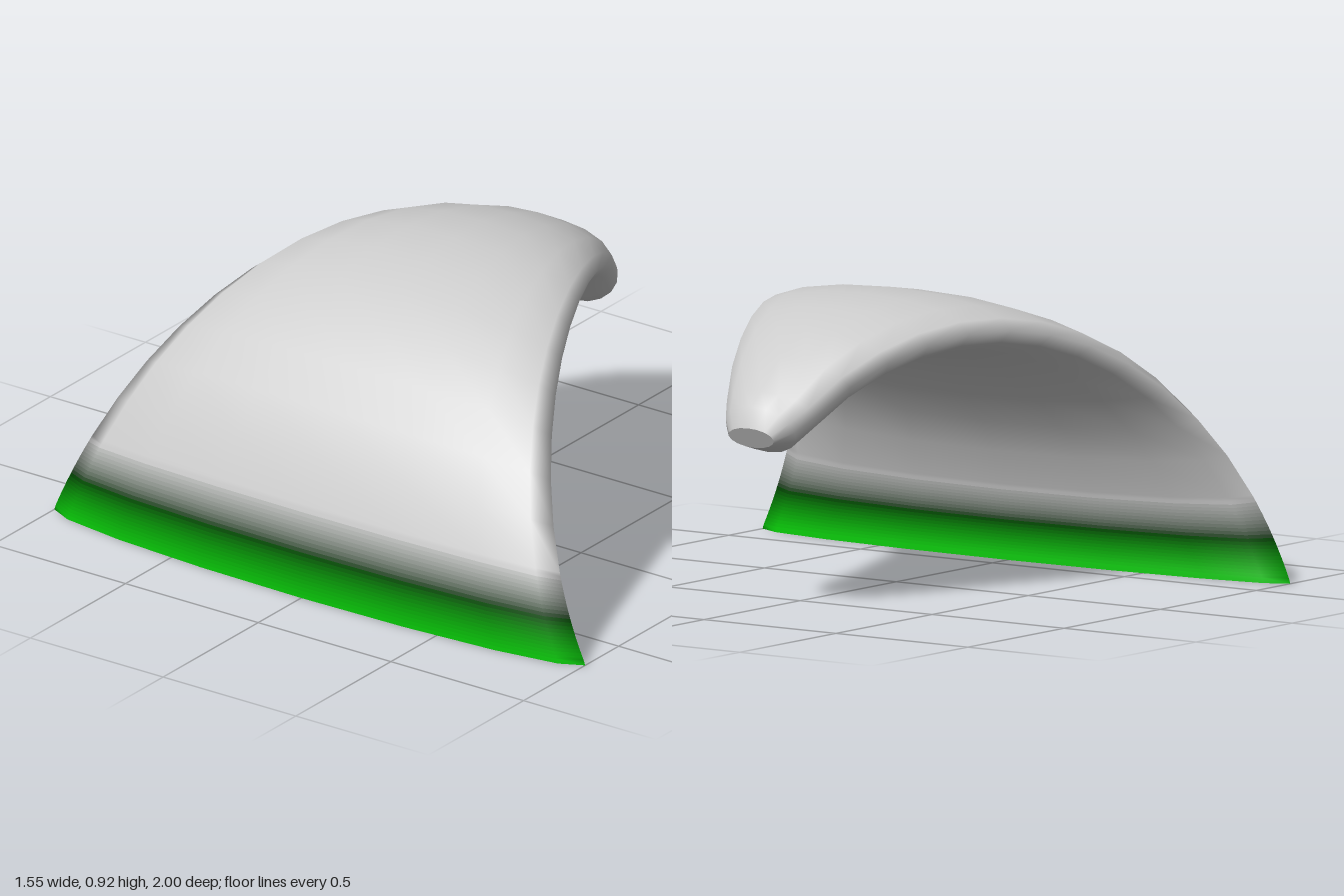
import * as THREE from 'three';

const SIDES = 16;
const CX = 0.105, CY = 0.04, RADIUS = 0.782, THICK = 0.098;
const START = 182.6, STEP = 9.77, SEGMENTS = 13, BANDS = 12;

// Elliptical cross-section: centre, tilt in degrees, half thickness, half width
function ring(x, y, tilt, thick, width) {
  const a = THREE.MathUtils.degToRad(tilt);
  const points = [];
  for (let i = 0; i < SIDES; i++) {
    const t = (i / SIDES) * Math.PI * 2;
    const r = thick * Math.cos(t);
    points.push(new THREE.Vector3(x + r * Math.cos(a), y + r * Math.sin(a), width * Math.sin(t)));
  }
  return points;
}

// Cross-section on the arch; the width shrinks evenly along the arc
function archRing(step) {
  const angle = START - step * STEP;
  const a = THREE.MathUtils.degToRad(angle);
  const x = CX + RADIUS * Math.cos(a), y = CY + RADIUS * Math.sin(a);
  return ring(x, y, angle, THICK, 1 - 0.0061 * step * STEP);
}

// Flat end cap as a fan
function capGeometry(points, flip) {
  const index = [];
  for (let i = 1; i < SIDES - 1; i++) index.push(0, flip ? i + 1 : i, flip ? i : i + 1);
  const geometry = new THREE.BufferGeometry().setFromPoints(points);
  geometry.setIndex(index);
  geometry.computeVertexNormals();
  return geometry;
}

export function createModel() {
  const group = new THREE.Group();
  const add = (geometry, color, name) => {
    const mesh = new THREE.Mesh(geometry, new THREE.MeshStandardMaterial({ color }));
    mesh.name = name;
    group.add(mesh);
  };

  // Cross-sections: the first two segments are split finely for the colour fade
  const rings = [];
  const fadeBands = 2 * BANDS;
  for (let i = 0; i < fadeBands; i++) rings.push(archRing(i / BANDS));
  for (let i = 2; i <= SEGMENTS; i++) rings.push(archRing(i));
  // The base stands flat on the ground
  rings[0].forEach((p) => { p.y = 0; });
  // Blunt tip, tilted a little out of the arc
  rings.push(
    ring(0.65, 0.598, 54, 0.091, 0.166),
    ring(0.705, 0.554, 59.5, 0.088, 0.13),
    ring(0.755, 0.533, 61, 0.037, 0.085),
  );

  // Smooth skin over all the cross-sections
  const skin = new THREE.BufferGeometry().setFromPoints(rings.flat());
  const index = [];
  for (let r = 0; r < rings.length - 1; r++) {
    for (let i = 0; i < SIDES; i++) {
      const a = r * SIDES + i, b = r * SIDES + (i + 1) % SIDES;
      const c = a + SIDES, d = b + SIDES;
      index.push(a, b, c, b, d, c);
    }
  }
  skin.setIndex(index);
  skin.computeVertexNormals();

  // Pieces of the skin share its normals, so no seams show
  const piece = (from, to) => {
    const geometry = skin.clone();
    geometry.setIndex(index.slice(from * SIDES * 6, to * SIDES * 6));
    return geometry;
  };

  // Base bands fade from green through dark green to grey
  const green = new THREE.Color(0x08cc08);
  const dark = new THREE.Color(0x034203);
  const grey = new THREE.Color(0xcccccc);
  for (let i = 0; i < fadeBands; i++) {
    const t = (i + 0.5) / BANDS;
    const color = t < 1 ? green.clone().lerp(dark, t) : dark.clone().lerp(grey, t - 1);
    add(piece(i, i + 1), color, 'baseBand' + (i + 1));
  }
  add(piece(fadeBands, rings.length - 1), grey, 'archBody');

  // End caps
  add(capGeometry(rings[0], true), green, 'baseCap');
  add(capGeometry(rings[rings.length - 1], false), grey, 'tipCap');
  return group;
}
